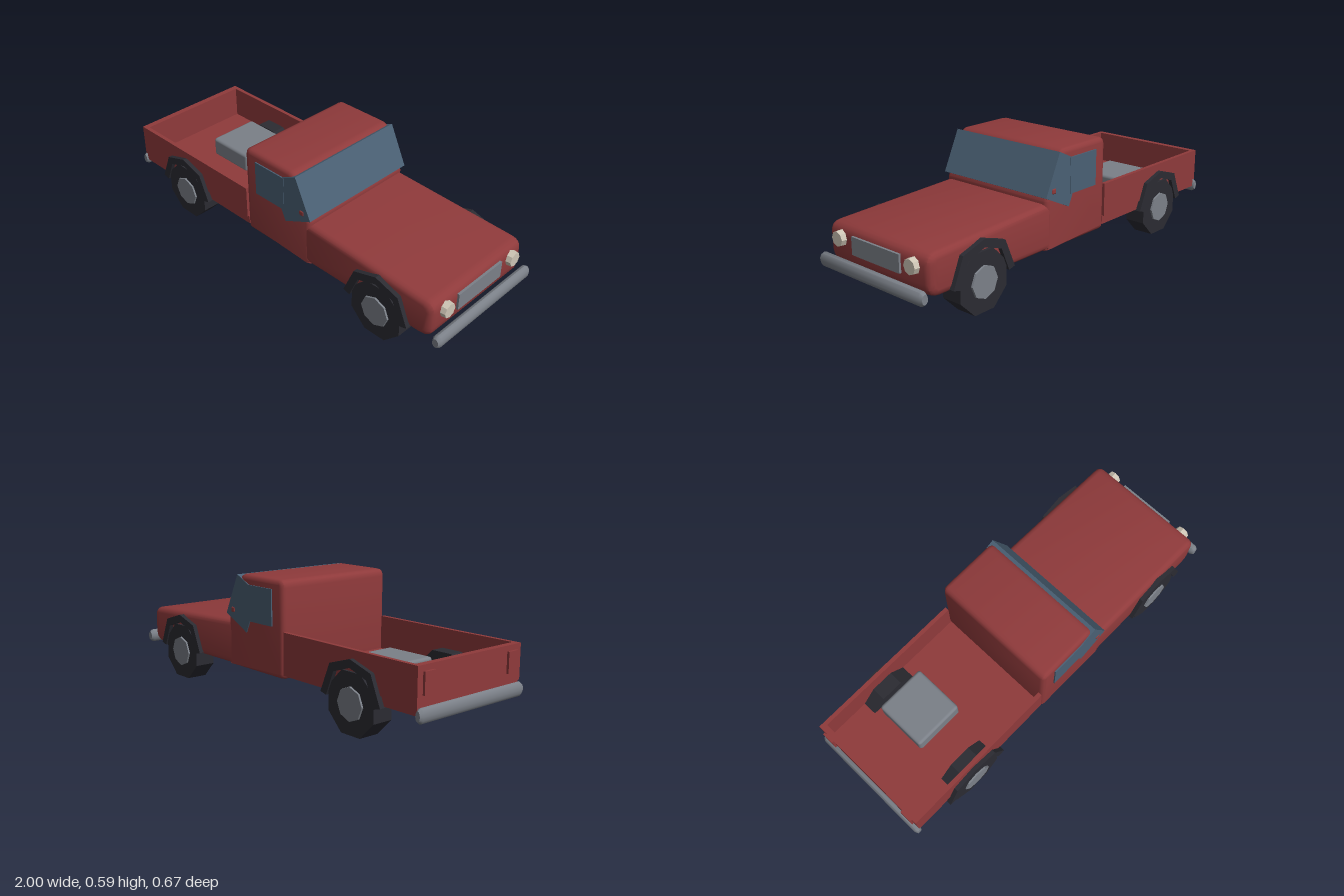
import * as THREE from 'three';
import { toCreasedNormals } from 'three/addons/utils/BufferGeometryUtils.js';
import { RoundedBoxGeometry } from 'three/addons/geometries/RoundedBoxGeometry.js';

const paint = (name, color) => {
  const m = new THREE.MeshStandardMaterial({ color });
  m.name = name;
  return m;
};

// Closed outline whose corners [x, y, radius] are rounded
function roundedShape(corners) {
  const shape = new THREE.Shape();
  corners.forEach(([x, y, r], i) => {
    const p = new THREE.Vector2(x, y);
    const toward = ([qx, qy]) => new THREE.Vector2(qx, qy).sub(p).setLength(r).add(p);
    const a = toward(corners.at(i - 1));
    const b = toward(corners[(i + 1) % corners.length]);
    if (i) shape.lineTo(a.x, a.y); else shape.moveTo(a.x, a.y);
    if (r) shape.quadraticCurveTo(x, y, b.x, b.y);
  });
  shape.closePath();
  return shape;
}

// Side profile pulled across the full width, with softened side edges
function bodyShell(corners, halfWidth, bevel) {
  const geo = new THREE.ExtrudeGeometry(roundedShape(corners), {
    depth: 2 * (halfWidth - bevel), curveSegments: 4, bevelEnabled: true,
    bevelSize: bevel, bevelThickness: bevel, bevelOffset: -bevel, bevelSegments: 3,
  });
  geo.translate(0, 0, bevel - halfWidth);
  return toCreasedNormals(geo, 0.6);
}

// Cylinder lying along z, with a flat or a corner at the bottom
function disc(rOuter, rInner, width, sides, turn = 0) {
  const geo = new THREE.CylinderGeometry(rOuter, rInner, width, sides);
  geo.rotateY(turn).rotateX(Math.PI / 2);
  return toCreasedNormals(geo, 0.5);
}

export function createModel() {
  const truck = new THREE.Group();
  truck.name = 'pickupTruck';
  const red = paint('bodyRed', 0x8f3a3b);
  const glass = paint('glassBlue', 0x4a6074);
  const rubber = paint('rubberBlack', 0x2b2b32);
  const metal = paint('metalGrey', 0x7b8088);
  const lamp = paint('lampCream', 0xcdc5b5);

  const add = (name, geo, mat, x = 0, y = 0, z = 0) => {
    const mesh = new THREE.Mesh(geo, mat);
    mesh.name = name;
    mesh.position.set(x, y, z);
    truck.add(mesh);
    return mesh;
  };
  // Box from its minimum and maximum on each axis
  const addBox = (name, mat, [x0, x1], [y0, y1], [z0, z1]) =>
    add(name, new THREE.BoxGeometry(x1 - x0, y1 - y0, z1 - z0), mat,
      (x0 + x1) / 2, (y0 + y1) / 2, (z0 + z1) / 2);

  // Cab and bonnet
  add('cab', bodyShell([
    [-0.165, 0.14, 0.025], [0.25, 0.14, 0.005], [0.25, 0.375, 0.01],
    [0.15, 0.59, 0.03], [-0.165, 0.59, 0.035],
  ], 0.315, 0.022), red);
  add('bonnet', bodyShell([
    [0.2, 0.142, 0], [0.94, 0.142, 0.06], [0.945, 0.328, 0.05], [0.2, 0.361, 0],
  ], 0.314, 0.03), red);

  // Sloping windscreen block that wraps round the cab sides
  const screen = add('windscreen', new THREE.BoxGeometry(0.173, 0.213, 0.638), glass, 0.135, 0.451);
  screen.rotation.z = 0.44;

  // Load bed
  addBox('bedFloor', red, [-0.97, -0.16], [0.16, 0.2], [-0.31, 0.31]);
  addBox('tailgate', red, [-0.975, -0.945], [0.2, 0.36], [-0.31, 0.31]);

  // Cargo box
  add('cargoBox', new RoundedBoxGeometry(0.255, 0.1, 0.265, 2, 0.015), metal, -0.588, 0.242, -0.072);

  // Grille
  addBox('grille', metal, [0.935, 0.953], [0.215, 0.297], [-0.15, 0.15]);

  // Bumpers: flattened bars with tapered ends
  const bumperProfile = [[0, -0.325], [0.022, -0.325], [0.033, -0.31], [0.033, 0.31], [0.022, 0.325], [0, 0.325]]
    .map(([r, h]) => new THREE.Vector2(r, h));
  for (const [name, x, width, length] of [['frontBumper', 0.977, 0.7, 1], ['rearBumper', -0.982, 0.55, 0.98]]) {
    const geo = new THREE.LatheGeometry(bumperProfile, 12);
    geo.rotateX(Math.PI / 2).scale(width, 1, length);
    add(name, toCreasedNormals(geo, 0.7), metal, x, 0.163);
  }

  // Angular wheel-arch trim
  const outer = [[-0.178, 0.155], [-0.122, 0.287], [0, 0.325], [0.122, 0.287], [0.178, 0.155]];
  const inner = [[0.143, 0.145], [0.098, 0.255], [0, 0.288], [-0.098, 0.255], [-0.143, 0.145]];
  const archShape = new THREE.Shape([...outer, ...inner].map(([x, y]) => new THREE.Vector2(x, y)));
  const archGeo = new THREE.ExtrudeGeometry(archShape, { depth: 0.03, bevelEnabled: false });
  archGeo.translate(0, 0, -0.015);

  const tyreGeo = disc(0.146, 0.146, 0.102, 8, Math.PI / 8);

  // Parts mirrored on both sides
  for (const s of [1, -1]) {
    const side = s > 0 ? 'left' : 'right';
    addBox(`${side}BedWall`, red, [-0.975, -0.168], [0.2, 0.36], [s * 0.305 - 0.01, s * 0.305 + 0.01]);
    addBox(`${side}SideWindow`, glass, [-0.09, 0.095], [0.375, 0.545], [s * 0.317 - 0.004, s * 0.317 + 0.004]);
    add(`${side}Mirror`, new RoundedBoxGeometry(0.03, 0.028, 0.03, 1, 0.008), red, 0.206, 0.413, s * 0.308);
    addBox(`${side}TailLight`, red, [-0.986, -0.97], [0.24, 0.335], [s * 0.255 - 0.03, s * 0.255 + 0.03]);

    const light = add(`${side}Headlight`, disc(0.034, 0.038, 0.04, 8), lamp, 0.948, 0.27, s * 0.228);
    light.rotation.y = Math.PI / 2;

    for (const [end, x] of [['Front', 0.657], ['Rear', -0.62]]) {
      add(`${side}${end}Arch`, archGeo, rubber, x, 0, s * 0.32);
      add(`${side}${end}Tyre`, tyreGeo, rubber, x, 0.135, s * 0.276);
      const hub = add(`${side}${end}Hub`, disc(0.074, 0.08, 0.03, 8), metal, x, 0.135, s * 0.32);
      if (s < 0) hub.rotation.y = Math.PI;
    }
  }
  return truck;
}
